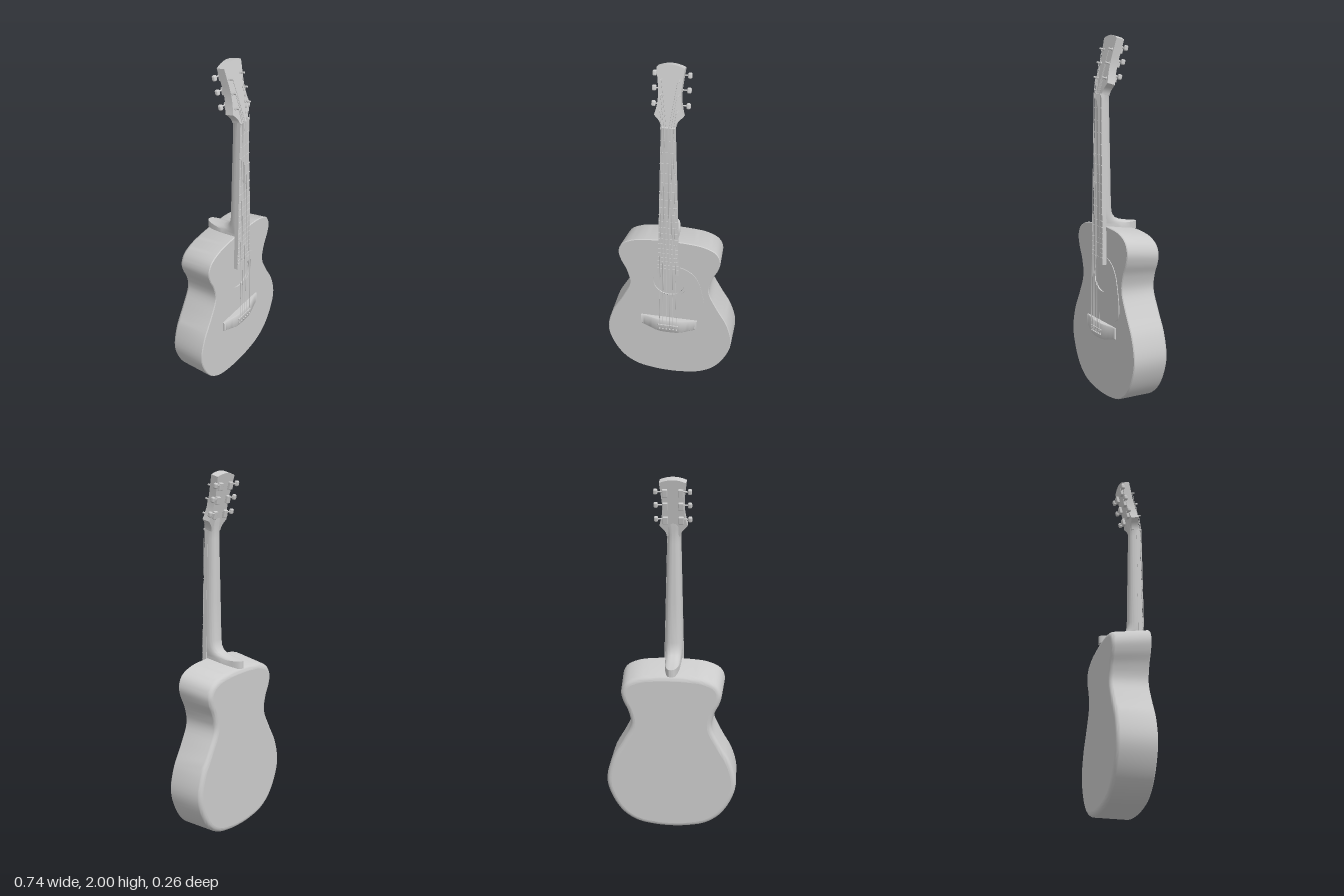
import * as THREE from 'three';
import { toCreasedNormals } from 'three/addons/utils/BufferGeometryUtils.js';
import { RoundedBoxGeometry } from 'three/addons/geometries/RoundedBoxGeometry.js';

const V = (x, y, z) => new THREE.Vector3(x, y, z);
const V2 = (x, y) => new THREE.Vector2(x, y);
const { lerp, smoothstep } = THREE.MathUtils;
const grey = new THREE.MeshStandardMaterial({ color: 0xcccccc });
const greyDouble = new THREE.MeshStandardMaterial({ color: 0xcccccc, side: THREE.DoubleSide });

function add(parent, name, geometry, x = 0, y = 0, z = 0, material = grey) {
  const mesh = new THREE.Mesh(geometry, material);
  mesh.name = name;
  mesh.position.set(x, y, z);
  parent.add(mesh);
  return mesh;
}

// Skin over closed rings, each counter-clockwise about the direction of travel
function loft(rings, capped = true) {
  if (capped) {
    const collapse = r => {
      const c = r.reduce((s, p) => s.add(p), V(0, 0, 0)).divideScalar(r.length);
      return r.map(() => c);
    };
    rings = [collapse(rings[0]), ...rings, collapse(rings[rings.length - 1])];
  }
  const n = rings[0].length, index = [];
  for (let i = 0; i < rings.length - 1; i++) {
    for (let j = 0; j < n; j++) {
      const a = i * n + j, b = i * n + (j + 1) % n;
      index.push(a, b, a + n, b, b + n, a + n);
    }
  }
  const g = new THREE.BufferGeometry().setFromPoints(rings.flat());
  g.setIndex(index);
  g.computeVertexNormals();
  return toCreasedNormals(g, 0.6);
}

// Thin cylinder between two points
function rod(parent, name, a, b, r, sides = 6) {
  const mesh = add(parent, name, new THREE.CylinderGeometry(r, r, a.distanceTo(b), sides));
  mesh.position.copy(a).add(b).multiplyScalar(0.5);
  mesh.quaternion.setFromUnitVectors(V(0, 1, 0), b.clone().sub(a).normalize());
  return mesh;
}

const FRONT = 0.085, HOLE_Y = 0.69;
const NUT_Y = 1.688, SADDLE_Y = 0.395, BOARD_END = 0.763;
const boardHalf = y => lerp(0.06, 0.037, (y - BOARD_END) / (NUT_Y - BOARD_END));
const boardZ = y => lerp(0.112, 0.106, (y - BOARD_END) / (NUT_Y - BOARD_END));

function makeBody(root) {
  const half = [[0.1, 0.01], [0.195, 0.032], [0.275, 0.085], [0.338, 0.18], [0.368, 0.29], [0.34, 0.42],
    [0.275, 0.54], [0.229, 0.65], [0.245, 0.74], [0.277, 0.81], [0.289, 0.87], [0.265, 0.925], [0.195, 0.96], [0.1, 0.973]];
  const points = [[0, 0.003], ...half, [0, 0.976], ...half.map(([x, y]) => [-x, y]).reverse()];
  const curve = new THREE.CatmullRomCurve3(points.map(([x, y]) => V(x, y, 0)), true, 'centripetal');
  const N = 128;
  // Outline at a depth: inset along its normal, upper bout shrinking to the back
  const ring = (z, inset) => Array.from({ length: N }, (_, i) => {
    const p = curve.getPoint(i / N), t = curve.getTangent(i / N);
    const s = smoothstep(p.y, 0.5, 0.97) * (FRONT - z) / 0.21;
    return V((p.x - t.y * inset) * (1 - 0.05 * s), p.y + t.x * inset - 0.033 * s, z);
  });
  const rings = [];
  for (let i = 0; i <= 6; i++) {
    const a = i / 6 * Math.PI / 2;
    rings.push(ring(-0.1 - 0.027 * Math.cos(a), 0.027 * (1 - Math.sin(a))));
  }
  rings.push(ring(FRONT - 0.005, 0), ring(FRONT, 0.004));
  add(root, 'bodySides', loft(rings, false));

  const shapeOf = r => new THREE.Shape(r.map(p => V2(p.x, p.y)));
  const top = shapeOf(rings[rings.length - 1]);
  top.holes.push(new THREE.Path().absarc(0, HOLE_Y, 0.09, 0, Math.PI * 2, true));
  add(root, 'soundboard', new THREE.ShapeGeometry(top, 48), 0, 0, FRONT);
  add(root, 'backPanel', new THREE.ShapeGeometry(shapeOf(rings[0])).rotateY(Math.PI), 0, 0, -0.127);

  // Sound hole and its ring
  add(root, 'soundHoleWall', new THREE.CylinderGeometry(0.09, 0.09, 0.008, 48, 1, true).rotateX(Math.PI / 2),
    0, HOLE_Y, FRONT - 0.004, greyDouble);
  add(root, 'soundHoleFloor', new THREE.CircleGeometry(0.09, 48), 0, HOLE_Y, FRONT - 0.008);
  add(root, 'rosette', new THREE.RingGeometry(0.09, 0.103, 48), 0, HOLE_Y, FRONT + 0.001);

  // Pickguard hugging the sound hole
  const guard = new THREE.Shape();
  guard.moveTo(0.062, 0.803);
  guard.bezierCurveTo(0.13, 0.79, 0.165, 0.74, 0.18, 0.68);
  guard.bezierCurveTo(0.195, 0.62, 0.21, 0.56, 0.202, 0.51);
  guard.bezierCurveTo(0.19, 0.46, 0.13, 0.455, 0.09, 0.475);
  guard.bezierCurveTo(0.05, 0.5, 0.052, 0.55, 0.062, 0.608);
  guard.absarc(0, HOLE_Y, 0.104, -0.9, 0.88, false);
  add(root, 'pickguard', new THREE.ExtrudeGeometry(guard, { depth: 0.004, bevelEnabled: false, curveSegments: 16 }), 0, 0, FRONT);
}

function makeBridge(root) {
  const rings = [];
  for (let i = 0; i <= 24; i++) {
    const x = lerp(-0.165, 0.165, i / 24), u = Math.abs(x) / 0.165;
    const low = 0.34 + 0.027 * u * u, front = lerp(0.119, 0.095, smoothstep(u, 0.25, 1));
    rings.push([[low, 0.083], [0.43, 0.083], [0.43, front - 0.004], [0.424, front], [low + 0.006, front], [low, front - 0.004]]
      .map(([y, z]) => V(x, y, z)));
  }
  add(root, 'bridge', loft(rings));
  add(root, 'saddle', new RoundedBoxGeometry(0.12, 0.008, 0.014, 2, 0.002), 0, SADDLE_Y, 0.117);
  for (let i = 0; i < 6; i++) {
    add(root, 'bridgePin', new THREE.SphereGeometry(0.0055, 10, 8), (i - 2.5) * 0.02, 0.368, 0.121);
  }
}

function makeNeck(root) {
  // Height, half width, front z, back z: heel, shaft, then blend into the head
  const stations = [[0.942, 0.045, 0.07, -0.129], [0.984, 0.045, 0.09, -0.129], [0.987, 0.045, 0.09, -0.1],
    [0.993, 0.046, 0.09, -0.06], [1.002, 0.047, 0.09, -0.02], [1.016, 0.049, 0.09, 0.01], [1.04, 0.051, 0.09, 0.029],
    [1.08, 0.051, 0.09, 0.036], [1.3, 0.046, 0.09, 0.039], [1.64, 0.037, 0.09, 0.044], [1.69, 0.037, 0.088, 0.044],
    [1.72, 0.042, 0.075, 0.04], [1.765, 0.05, 0.06, 0.037]];
  const rings = stations.map(([y, w, zf, zb]) => Array.from({ length: 25 }, (_, i) => {
    const c = Math.cos(i / 24 * Math.PI), s = Math.sin(i / 24 * Math.PI);
    return V(w * Math.sign(c) * Math.abs(c) ** 0.8, y, zf - (zf - zb) * Math.max(s, 0) ** 0.8);
  }));
  add(root, 'neck', loft(rings));

  const section = y => {
    const w = boardHalf(y), z = boardZ(y);
    return [V(w, y, 0.084), V(-w, y, 0.084), V(-w, y, z - 0.002), V(-w * 0.5, y, z), V(w * 0.5, y, z), V(w, y, z - 0.002)];
  };
  add(root, 'fretboard', loft([section(BOARD_END), section(NUT_Y)]));
  for (let n = 1; n <= 20; n++) {
    const y = SADDLE_Y + (NUT_Y - SADDLE_Y) * 2 ** (-n / 12);
    add(root, 'fret', new THREE.BoxGeometry(2 * boardHalf(y), 0.004, 0.004), 0, y, boardZ(y));
  }
  add(root, 'nut', new THREE.BoxGeometry(0.076, 0.009, 0.02), 0, NUT_Y, 0.102);
}

function makeHead(root) {
  const head = new THREE.Group();
  head.name = 'head';
  head.position.set(0, 1.69, 0.1);
  head.rotation.x = -0.237;
  root.add(head);

  const s = new THREE.Shape();
  s.moveTo(-0.037, 0);
  s.lineTo(0.037, 0);
  s.bezierCurveTo(0.04, 0.03, 0.06, 0.045, 0.075, 0.06);
  s.bezierCurveTo(0.062, 0.1, 0.055, 0.14, 0.059, 0.2);
  s.lineTo(0.071, 0.303);
  s.quadraticCurveTo(0, 0.335, -0.071, 0.303);
  s.lineTo(-0.059, 0.2);
  s.bezierCurveTo(-0.055, 0.14, -0.062, 0.1, -0.075, 0.06);
  s.bezierCurveTo(-0.06, 0.045, -0.04, 0.03, -0.037, 0);
  const plate = new THREE.ExtrudeGeometry(s, { depth: 0.046, bevelEnabled: false, curveSegments: 12 });
  add(head, 'headPlate', toCreasedNormals(plate, 0.5), 0, 0, -0.046);

  // Six tuners, three to a side
  for (const side of [-1, 1]) {
    for (const y of [0.085, 0.165, 0.24]) {
      const x = side * 0.046, yb = y + 0.02, zb = -0.056;
      rod(head, 'tunerPost', V(x, y, -0.01), V(x, y, 0.026), 0.005, 12);
      rod(head, 'tunerBushing', V(x, y, 0), V(x, y, 0.004), 0.009, 12);
      add(head, 'tunerHousing', new RoundedBoxGeometry(0.028, 0.042, 0.018, 2, 0.004), side * 0.042, y + 0.01, -0.053);
      rod(head, 'tunerShaft', V(side * 0.045, yb, zb), V(side * 0.085, yb, zb), 0.004, 10);
      add(head, 'tunerButton', new RoundedBoxGeometry(0.022, 0.03, 0.022, 3, 0.008), side * 0.09, yb, zb);
    }
  }
  head.updateMatrix();
  return head;
}

function makeStrings(root, head) {
  for (let i = 0; i < 6; i++) {
    const k = i - 2.5, row = Math.min(i, 5 - i), r = 0.0022 - i * 0.0002;
    const pin = V(k * 0.02, 0.37, 0.12), saddle = V(k * 0.02, SADDLE_Y, 0.125), nut = V(k * 0.012, NUT_Y, 0.113);
    const post = V(Math.sign(k) * 0.041, [0.085, 0.165, 0.24][row], 0.016).applyMatrix4(head.matrix);
    rod(root, 'stringTail', pin, saddle, r);
    rod(root, 'string', saddle, nut, r);
    rod(root, 'stringEnd', nut, post, r);
  }
}

export function createModel() {
  const root = new THREE.Group();
  root.name = 'guitar';
  makeBody(root);
  makeBridge(root);
  makeNeck(root);
  makeStrings(root, makeHead(root));
  return root;
}
